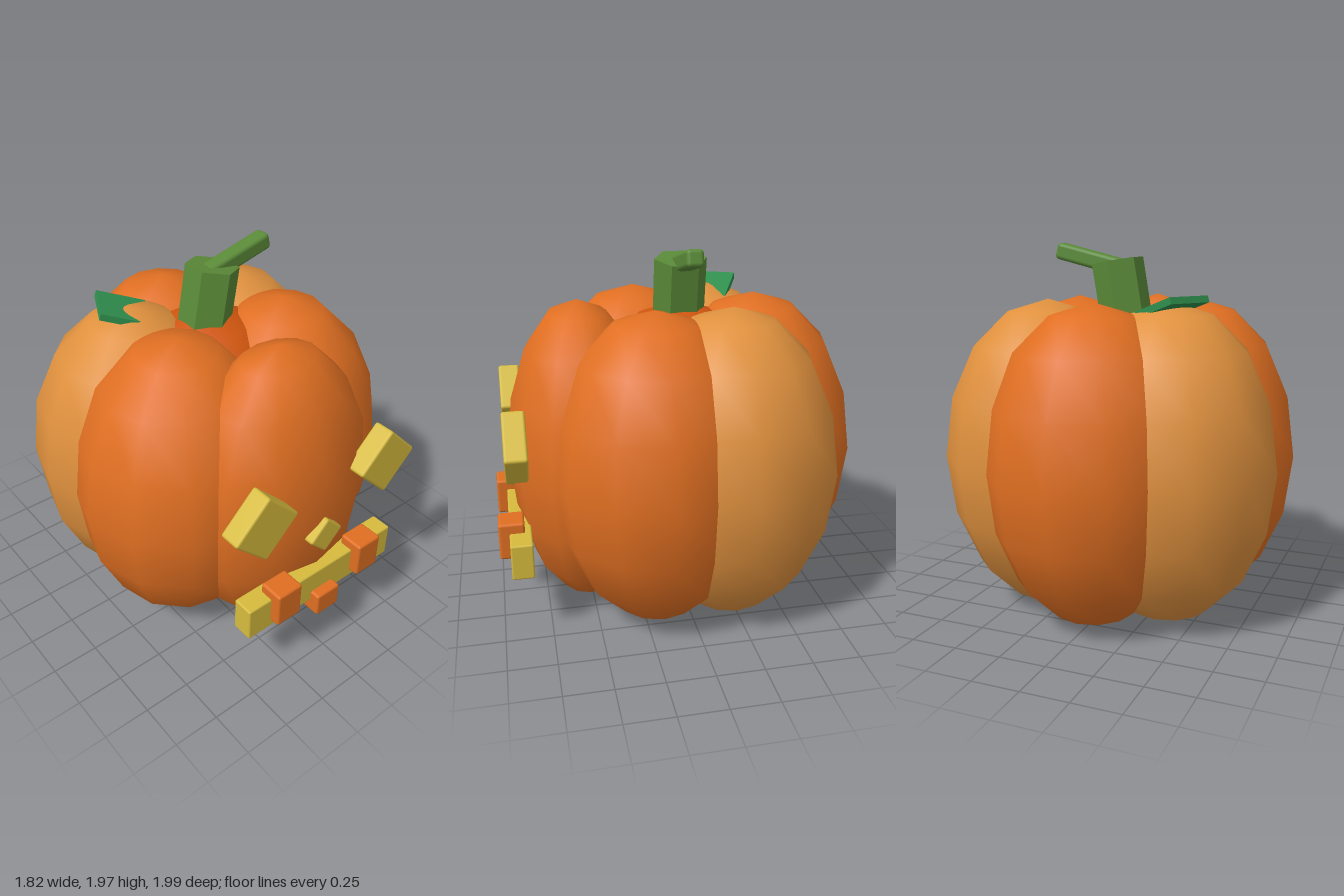
import * as THREE from 'three';
import { RoundedBoxGeometry } from 'three/addons/geometries/RoundedBoxGeometry.js';

const material = (name, color) => {
  const m = new THREE.MeshStandardMaterial({ color });
  m.name = name;
  return m;
};

export function createModel() {
  const orange = material('orange', 0xe06f22);
  const paleOrange = material('pale orange', 0xe0913e);
  const deepOrange = material('deep orange', 0xd0560f);
  const yellow = material('yellow', 0xd6bb3e);
  const stemGreen = material('stem green', 0x5a8a38);
  const leafGreen = material('leaf green', 0x2f8f4e);

  const model = new THREE.Group();
  model.name = 'pumpkin';

  const add = (name, geometry, mat, x, y, z) => {
    const mesh = new THREE.Mesh(geometry, mat);
    mesh.name = name;
    mesh.position.set(x, y, z);
    model.add(mesh);
    return mesh;
  };
  const block = (name, mat, size, pos, r = 0.014) =>
    add(name, new RoundedBoxGeometry(...size, 2, r), mat, ...pos);

  // Body: six overlapping lobes in a ring around a core
  const midY = 0.85, midZ = -0.03;
  const ball = new THREE.SphereGeometry(1, 12, 8);
  for (let i = 0; i < 6; i++) {
    const a = (i * Math.PI) / 3;
    const front = i === 0;
    const pale = i === 2 || i === 4;
    const lobe = add(front ? 'frontLobe' : 'lobe', ball, pale ? paleOrange : orange,
      0.4 * Math.sin(a), midY, front ? 0.52 : midZ + 0.4 * Math.cos(a));
    lobe.scale.set(0.565, 0.84, front ? 0.4 : 0.565);
  }
  add('core', ball, deepOrange, 0, midY, midZ).scale.set(0.6, 0.8, 0.6);

  // Leaning six-sided stem with a side branch
  const stem = add('stem', new THREE.CylinderGeometry(0.14, 0.14, 0.38, 6).toNonIndexed(),
    stemGreen, 0, 1.70, -0.025);
  stem.geometry.computeVertexNormals();
  stem.rotation.z = -0.17;
  const branch = block('branch', stemGreen, [0.4, 0.09, 0.09], [0.185, 1.895, -0.025], 0.022);
  branch.rotation.z = 0.24;

  // Square leaf, tilted and partly sunk into a back lobe
  const leaf = add('leaf', new THREE.BoxGeometry(0.265, 0.035, 0.265), leafGreen,
    -0.36, 1.663, -0.267);
  const up = new THREE.Vector3(0, 1, 0);
  leaf.quaternion
    .setFromUnitVectors(up, new THREE.Vector3(0.3, 1, 0.15).normalize())
    .multiply(new THREE.Quaternion().setFromAxisAngle(up, -0.464));

  // Diamond eyes and nose
  for (const s of [-1, 1]) {
    block(s > 0 ? 'leftEye' : 'rightEye', yellow, [0.275, 0.275, 0.115],
      [s * 0.405, 1.05, 0.887]).rotation.z = Math.PI / 4;
  }
  block('nose', yellow, [0.155, 0.155, 0.115], [0, 0.78, 0.887]).rotation.z = Math.PI / 4;

  // Mouth bar with two upper teeth and one lower tooth
  block('mouth', yellow, [1.0, 0.192, 0.115], [0, 0.46, 0.887], 0.01);
  for (const s of [-1, 1]) {
    block('upperTooth', orange, [0.156, 0.2, 0.135], [s * 0.281, 0.51, 0.932]);
  }
  block('lowerTooth', orange, [0.156, 0.136, 0.135], [0, 0.36, 0.932]);

  return model;
}
